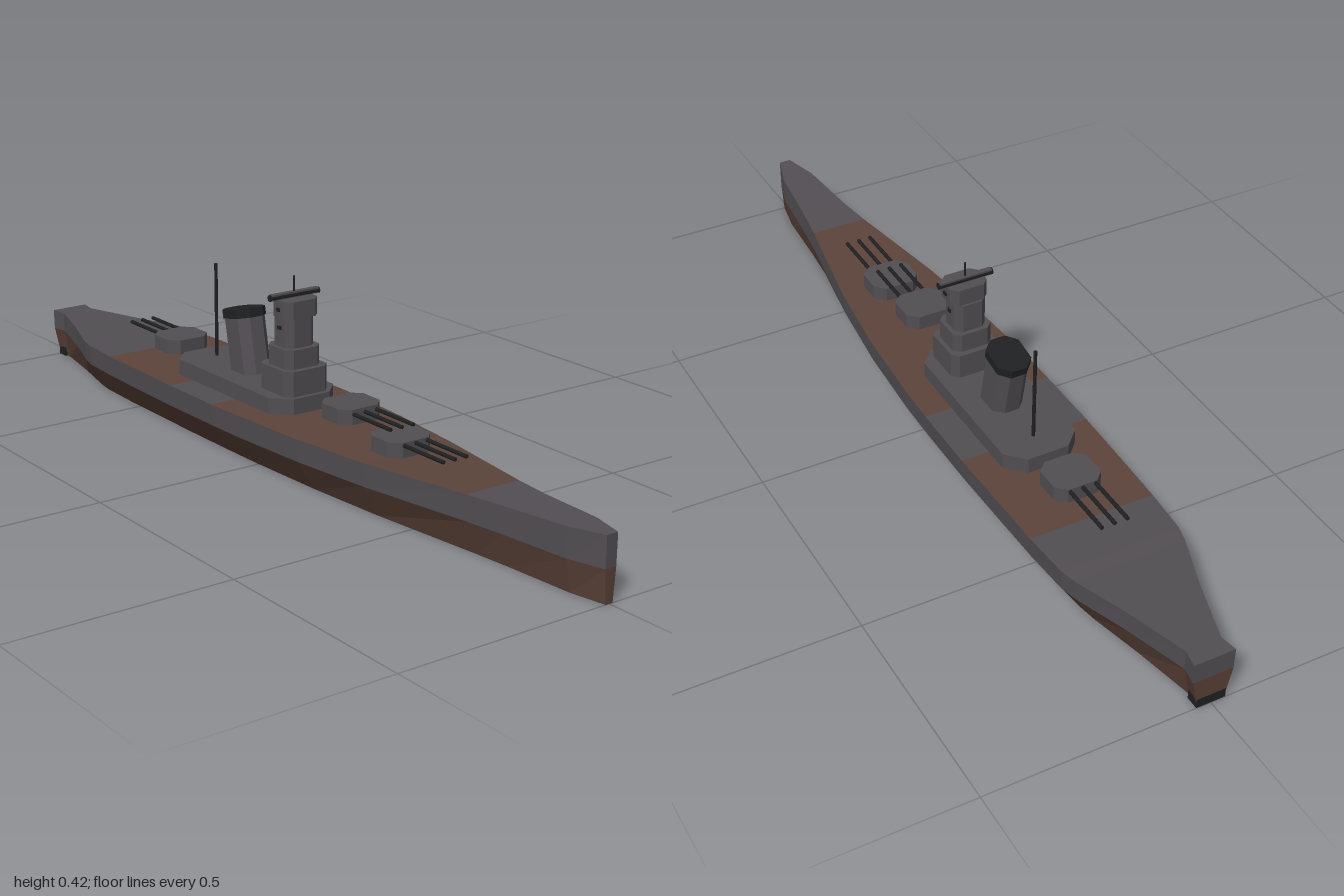
import * as THREE from 'three';

const paint = (name, hex) => {
  const m = new THREE.MeshStandardMaterial({ color: hex });
  m.name = name;
  return m;
};

export function createModel() {
  const ship = new THREE.Group();
  ship.name = 'warship';
  const grey = paint('ship grey', 0x524e53);
  const wood = paint('deck brown', 0x5b443b);
  const red = paint('lower hull red brown', 0x573f36);
  const dark = paint('dark metal', 0x1f2021);

  const add = (name, geometry, material, x = 0, y = 0, z = 0, parent = ship) => {
    const mesh = new THREE.Mesh(geometry, material);
    mesh.name = name;
    mesh.position.set(x, y, z);
    parent.add(mesh);
    return mesh;
  };

  // Hull stations from bow to stern: z, deck half width, deck height
  const stations = [
    [1, 0.014, 0.14], [0.92, 0.038, 0.137], [0.76, 0.055, 0.131], [0.67, 0.068, 0.129],
    [0.4, 0.115, 0.125], [0.2, 0.138, 0.124], [0, 0.15, 0.124], [-0.1, 0.152, 0.123],
    [-0.27, 0.152, 0.123], [-0.4, 0.149, 0.123], [-0.55, 0.145, 0.122], [-0.66, 0.138, 0.122],
    [-0.7, 0.128, 0.121], [-0.82, 0.084, 0.121], [-0.96, 0.04, 0.12], [-1, 0.047, 0.12],
  ];
  // Cross-section ring, counter-clockwise seen from the bow
  const ring = ([z, w, h]) => [
    [-w * 0.63, 0, z], [w * 0.63, 0, z], [w * 0.97, 0.072, z],
    [w, h, z], [-w, h, z], [-w * 0.97, 0.072, z],
  ];
  const rings = stations.map(ring);
  const faces = (quads) => {
    const g = new THREE.BufferGeometry();
    const p = quads.flatMap(([a, b, c, d]) => [a, b, c, a, c, d].flat());
    g.setAttribute('position', new THREE.Float32BufferAttribute(p, 3));
    g.computeVertexNormals();
    return g;
  };
  // Skin between ring edges k and k+1, over a span of stations
  const skin = (edges, from = 0, to = rings.length - 1) => {
    const quads = [];
    for (const k of edges) {
      const n = (k + 1) % 6;
      for (let i = from; i < to; i++) {
        quads.push([rings[i][k], rings[i + 1][k], rings[i + 1][n], rings[i][n]]);
      }
    }
    return faces(quads);
  };
  add('lowerHull', skin([0, 1, 5]), red);
  add('upperHull', skin([2, 4]), grey);
  [[0, 3, grey, 'foredeck'], [3, 7, wood, 'forwardPlanking'], [7, 8, grey, 'midDeck'],
    [8, 10, wood, 'aftPlanking'], [10, 15, grey, 'quarterdeck']]
    .forEach(([a, b, m, name]) => add(name, skin([3], a, b), m));

  // Stem and transom
  const bow = rings[0];
  const stern = rings[rings.length - 1];
  add('lowerStem', faces([[bow[0], bow[1], bow[2], bow[5]]]), red);
  add('upperStem', faces([[bow[5], bow[2], bow[3], bow[4]]]), grey);
  add('lowerTransom', faces([[stern[1], stern[0], stern[5], stern[2]]]), red);
  add('upperTransom', faces([[stern[2], stern[5], stern[4], stern[3]]]), grey);
  add('sternFoot', new THREE.BoxGeometry(0.066, 0.022, 0.03), dark, 0, 0.0115, -0.985);

  // Upright block with cut corners, standing on its base
  const block = (w, h, d, c) => {
    const x = w / 2, y = d / 2;
    const shape = new THREE.Shape([
      [x, -y + c], [x, y - c], [x - c, y], [-x + c, y],
      [-x, y - c], [-x, -y + c], [-x + c, -y], [x - c, -y],
    ].map(([a, b]) => new THREE.Vector2(a, b)));
    return new THREE.ExtrudeGeometry(shape, { depth: h, bevelEnabled: false }).rotateX(-Math.PI / 2);
  };

  // Superstructure base and stepped bridge tower: half width, front z, rear z, bottom, top
  add('superstructure', block(0.176, 0.042, 0.44, 0.04), grey, 0, 0.118, -0.15);
  [[0.058, 0.06, -0.055, 0.158, 0.218], [0.047, 0.047, -0.042, 0.218, 0.262],
    [0.038, 0.036, -0.032, 0.262, 0.33], [0.045, 0.042, -0.027, 0.33, 0.369]]
    .forEach(([w, f, r, b, t], i) => {
      add('towerTier' + (i + 1), block(w * 2, t - b, f - r, 0.015), grey, 0, b, (f + r) / 2);
    });
  add('rangefinder', new THREE.CylinderGeometry(0.0075, 0.0075, 0.132, 8).rotateZ(Math.PI / 2), dark, 0, 0.375, 0.003);
  add('rangefinderHousing', new THREE.BoxGeometry(0.126, 0.013, 0.012), grey, 0, 0.376, 0.003);
  add('towerMast', new THREE.CylinderGeometry(0.002, 0.002, 0.05, 6), dark, 0, 0.392, 0.003);
  for (const s of [1, -1]) {
    add('upperLookout', new THREE.BoxGeometry(0.006, 0.008, 0.012), dark, s * 0.045, 0.348, 0.008);
    add('lowerLookout', new THREE.BoxGeometry(0.006, 0.008, 0.012), dark, s * 0.038, 0.305, 0.002);
  }

  // Funnel raked toward the stern
  const funnel = new THREE.Group();
  funnel.name = 'funnel';
  funnel.position.set(0, 0.154, -0.163);
  funnel.rotation.x = -0.2;
  add('funnelBody', block(0.074, 0.134, 0.092, 0.02), grey, 0, 0, 0, funnel);
  add('funnelCap', block(0.08, 0.02, 0.1, 0.022), dark, 0, 0.13, 0, funnel);
  ship.add(funnel);
  add('aftMast', new THREE.CylinderGeometry(0.004, 0.004, 0.225, 8), dark, 0, 0.268, -0.305);

  // Triple gun turrets: centre z, base height, gun height, facing
  [[0.38, 0.125, 0.153, 1, 'foremostTurret'], [0.21, 0.15, 0.174, 1, 'raisedTurret'],
    [-0.46, 0.142, 0.17, -1, 'aftTurret']].forEach(([z, y, gunY, dir, name]) => {
    const turret = new THREE.Group();
    turret.name = name;
    turret.position.set(0, y, z);
    turret.rotation.y = dir > 0 ? 0 : Math.PI;
    add('gunHouse', block(0.112, 0.034, 0.1, 0.022), grey, 0, 0, 0, turret);
    for (const x of [-0.03, 0, 0.03]) {
      const barrel = new THREE.CylinderGeometry(0.0045, 0.0045, 0.135, 8).rotateX(Math.PI / 2);
      add('gunBarrel', barrel, dark, x, gunY - y, 0.108, turret);
    }
    ship.add(turret);
  });

  return ship;
}
